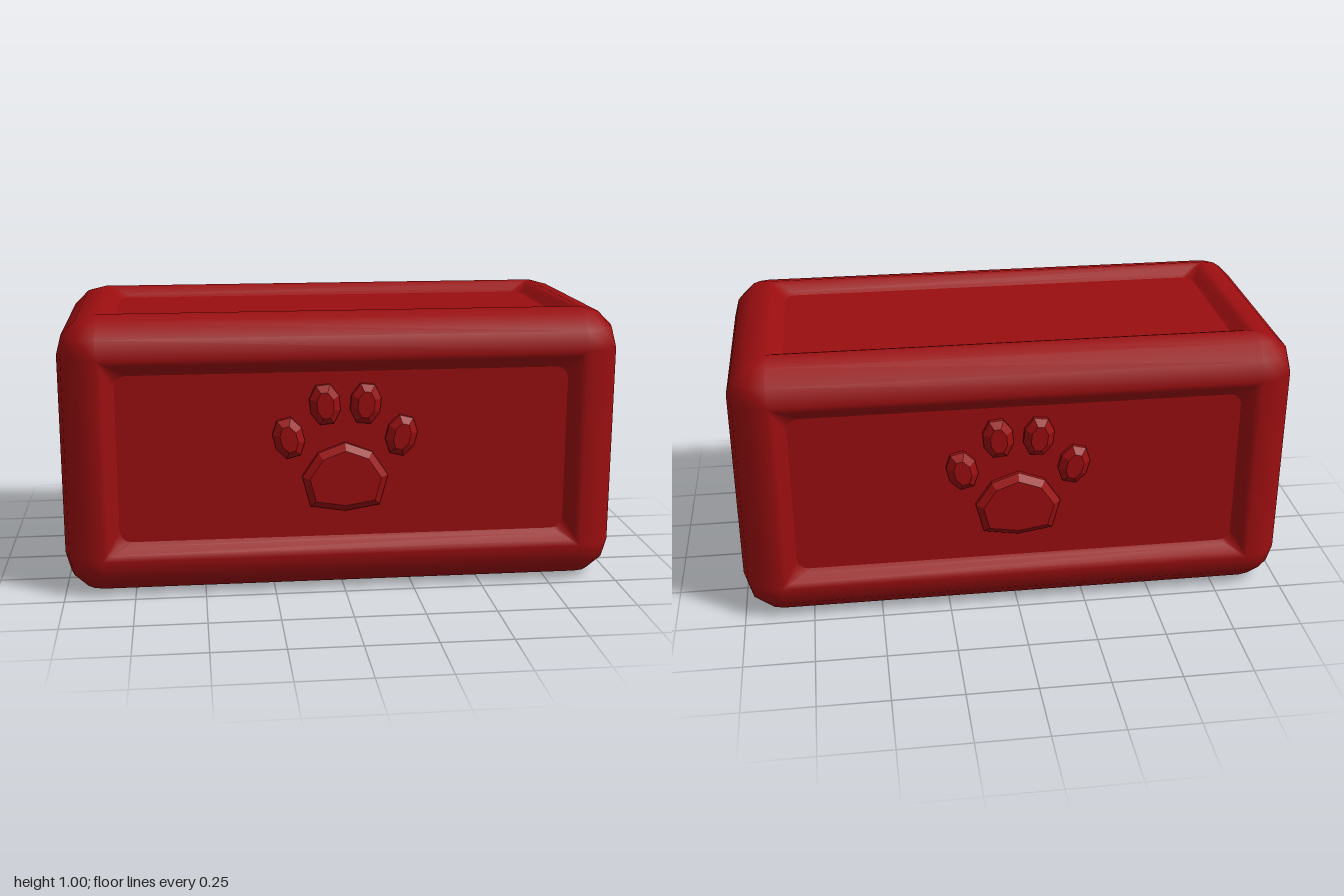
import * as THREE from 'three';
import { mergeGeometries } from 'three/addons/utils/BufferGeometryUtils.js';

const HALF = new THREE.Vector3(1, 0.5, 0.5);
const R = 0.14; // edge rounding
const DEPTH = 0.04; // panel recess
const INNER = HALF.clone().subScalar(R);
const Q = Math.PI / 2;

// Counter-clockwise rounded rectangle, four points per corner
function roundedLoop(a, b, r) {
  const pts = [];
  [[1, 1], [-1, 1], [-1, -1], [1, -1]].forEach(([sx, sy], c) => {
    for (let i = 0; i < 4; i++) {
      const t = c * Q + (i / 3) * Q;
      pts.push(new THREE.Vector2(sx * (a - r) + r * Math.cos(t), sy * (b - r) + r * Math.sin(t)));
    }
  });
  return pts;
}

// Sloping border that leads from the flush rim down to the recessed panel
function slopeGeometry(a, b, h) {
  const rings = [[0.14, 0, 0], [0.16, 0.007, 0.015], [0.185, 0.03, 0.035], [0.2, DEPTH, 0.04]];
  const pos = [], index = [], n = 16;
  rings.forEach(([inset, drop, r], k) => {
    roundedLoop(a - inset, b - inset, r).forEach((p, i) => {
      pos.push(p.x, p.y, h - drop);
      if (k === 0) return;
      const j = (i + 1) % n, o = (k - 1) * n, m = k * n;
      index.push(o + i, o + j, m + j, o + i, m + j, m + i);
    });
  });
  const g = new THREE.BufferGeometry();
  g.setAttribute('position', new THREE.Float32BufferAttribute(pos, 3));
  g.setIndex(index);
  g.computeVertexNormals();
  for (let i = 0; i < n; i++) g.attributes.normal.setXYZ(i, 0, 0, 1);
  return g;
}

// Places a piece at the box corner or edge its rotated direction points to
function place(g, dir, m) {
  const d = dir.clone().applyMatrix4(m).round().multiply(INNER);
  g.applyMatrix4(m);
  g.translate(d.x, d.y, d.z);
  g.deleteAttribute('uv');
  return g;
}

export function createModel() {
  const model = new THREE.Group();
  const red = new THREE.MeshStandardMaterial({ color: 0x9b0e10 });
  red.name = 'deep red';
  const add = (parent, name, geometry) => {
    const mesh = new THREE.Mesh(geometry, red);
    mesh.name = name;
    parent.add(mesh);
    return mesh;
  };

  // Rounded corners and edges
  const pieces = [];
  const rot = (x, y, z) => new THREE.Matrix4().makeRotationFromEuler(new THREE.Euler(x, y, z));
  for (let k = 0; k < 4; k++) {
    const turn = rot(0, k * Q, 0);
    for (const flip of [rot(0, 0, 0), rot(Math.PI, 0, 0)]) {
      const corner = new THREE.SphereGeometry(R, 3, 3, Q, Q, 0, Q);
      pieces.push(place(corner, new THREE.Vector3(1, 1, 1), flip.multiply(turn)));
    }
    [[rot(0, 0, 0), INNER.y], [rot(0, 0, Q), INNER.x], [rot(Q, 0, 0), INNER.z]].forEach(([axis, half]) => {
      const edge = new THREE.CylinderGeometry(R, R, 2 * half, 3, 1, true, 0, Q);
      pieces.push(place(edge, new THREE.Vector3(1, 0, 1), axis.multiply(turn)));
    });
  }

  // Recessed panels on all six sides
  const sides = [
    ['front', 0, 0, 1, 0.5, 0.5], ['back', 0, Math.PI, 1, 0.5, 0.5],
    ['left', 0, Q, 0.5, 0.5, 1], ['right', 0, -Q, 0.5, 0.5, 1],
    ['top', -Q, 0, 1, 0.5, 0.5], ['bottom', Q, 0, 1, 0.5, 0.5],
  ];
  const body = new THREE.Group();
  body.name = 'body';
  body.position.y = 0.5;
  model.add(body);
  for (const [name, rx, ry, a, b, h] of sides) {
    const m = rot(rx, ry, 0);
    pieces.push(slopeGeometry(a, b, h).applyMatrix4(m));
    const panel = new THREE.ShapeGeometry(new THREE.Shape(roundedLoop(a - 0.2, b - 0.2, 0.04)));
    panel.translate(0, 0, h - DEPTH).applyMatrix4(m);
    add(body, name + 'Panel', panel);
  }
  add(body, 'roundedFrame', mergeGeometries(pieces));

  // Raised paw emblem on the front and back
  const raise = (pts) => new THREE.ExtrudeGeometry(new THREE.Shape(pts), {
    depth: 0.015, bevelEnabled: true, bevelSize: 0.024, bevelThickness: 0.02, bevelSegments: 1,
  }).translate(0, 0, 0.46);
  const padPoints = [[-0.127, 0.42], [-0.105, 0.337], [0, 0.32], [0.105, 0.337], [0.127, 0.42],
    [0.08, 0.49], [0, 0.52], [-0.08, 0.49]].map(([x, y]) => new THREE.Vector2(x, y - 0.5));
  const toes = [[-0.2, 0.567, 0.25], [-0.072, 0.685, 0.1], [0.072, 0.685, -0.1], [0.2, 0.567, -0.25]];
  for (const [name, ry] of [['frontPaw', 0], ['backPaw', Math.PI]]) {
    const paw = new THREE.Group();
    paw.name = name;
    paw.rotation.y = ry;
    body.add(paw);
    add(paw, 'pad', raise(padPoints));
    toes.forEach(([x, y, tilt]) => {
      const outline = [];
      for (let i = 0; i < 8; i++) {
        const t = ((i + 0.5) / 8) * Math.PI * 2;
        outline.push(new THREE.Vector2(0.031 * Math.cos(t), 0.05 * Math.sin(t)));
      }
      const toe = add(paw, 'toe', raise(outline));
      toe.position.set(x, y - 0.5, 0);
      toe.rotation.z = tilt;
    });
  }
  return model;
}
